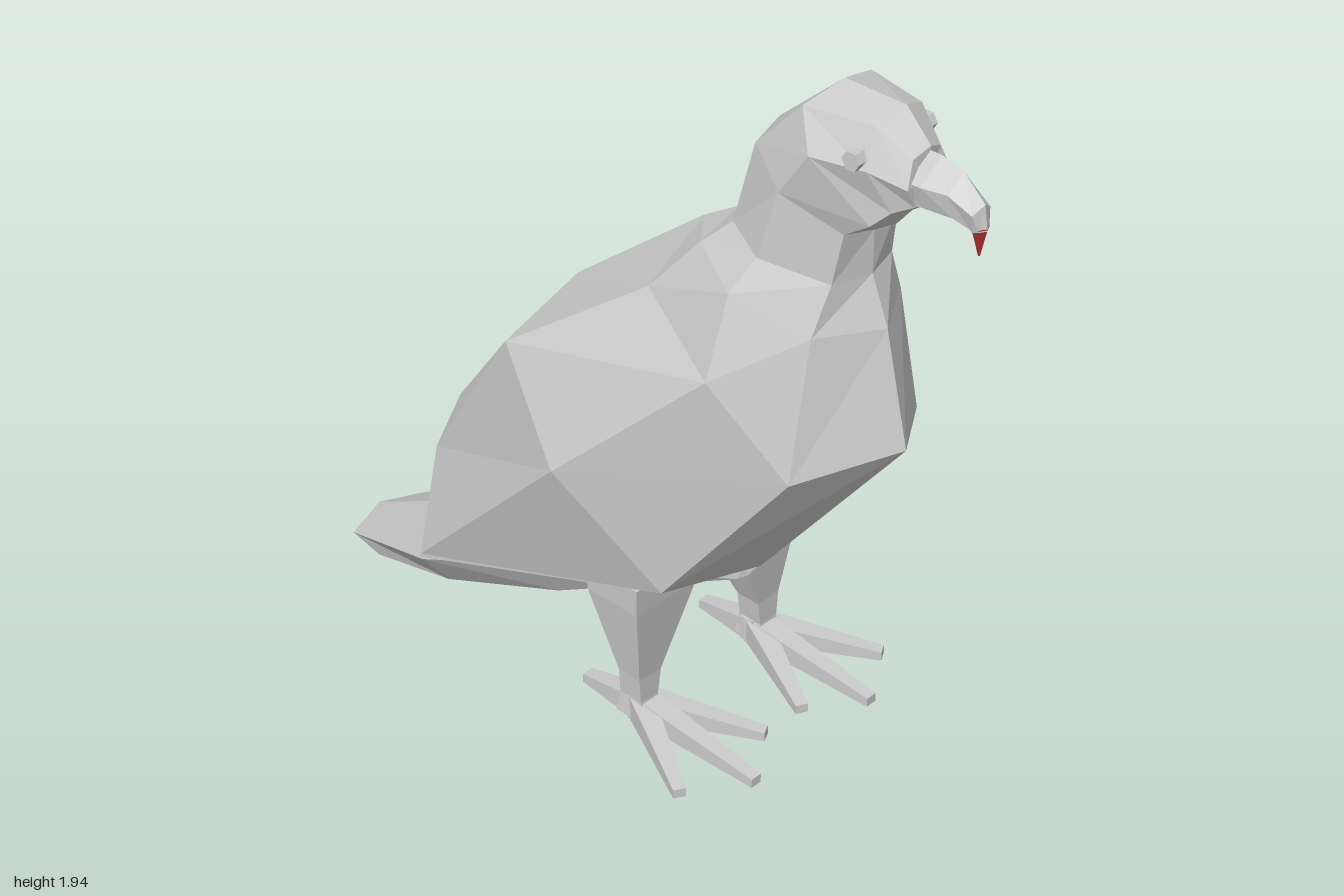
import * as THREE from 'three';

const grey = new THREE.MeshStandardMaterial({ color: 0xcccccc, flatShading: true, side: THREE.DoubleSide });
const red = new THREE.MeshStandardMaterial({ color: 0xb03030, flatShading: true, side: THREE.DoubleSide });

// Full ring from a half ring whose first and last points lie on x = 0
const sym = (half) => [...half, ...half.slice(1, -1).reverse().map(([x, y, z]) => [-x, y, z])];

// Faceted skin through rings of equal length, closed at both ends
function loft(name, rings, material = grey) {
  const pos = [];
  const n = rings[0].length;
  const mid = (r) => [0, 1, 2].map((k) => r.reduce((s, p) => s + p[k], 0) / n);
  const last = rings[rings.length - 1];
  const c0 = mid(rings[0]), c1 = mid(last);
  for (let i = 0; i < n; i++) {
    const j = (i + 1) % n;
    for (let r = 0; r + 1 < rings.length; r++) {
      const a = rings[r], b = rings[r + 1];
      pos.push(...a[i], ...a[j], ...b[j], ...a[i], ...b[j], ...b[i]);
    }
    pos.push(...c0, ...rings[0][j], ...rings[0][i], ...c1, ...last[i], ...last[j]);
  }
  const g = new THREE.BufferGeometry();
  g.setAttribute('position', new THREE.Float32BufferAttribute(pos, 3));
  g.computeVertexNormals();
  const mesh = new THREE.Mesh(g, material);
  mesh.name = name;
  return mesh;
}

// Half rings run from the breast side, round the left, to the back
const bodyRings = [
  [[0, 0.2, -0.66], [0.29, 0.26, -0.5], [0.29, 0.27, -0.5], [0.22, 0.57, -0.5], [0, 0.55, -0.65]],
  [[0, 0.55, 0.4], [0.29, 0.6, 0.35], [0.39, 0.87, 0.09], [0.29, 1.07, -0.16], [0, 1.11, -0.21]],
  [[0, 1.09, 0.82], [0.22, 1.03, 0.67], [0.29, 1.25, 0.48], [0.18, 1.33, 0.2], [0, 1.44, 0.2]],
  [[0, 1.38, 0.75], [0.15, 1.38, 0.66], [0.22, 1.45, 0.48], [0.14, 1.48, 0.32], [0, 1.51, 0.31]],
  [[0, 1.5, 0.7], [0.1, 1.5, 0.67], [0.165, 1.53, 0.51], [0.11, 1.55, 0.39], [0, 1.55, 0.37]],
];
const headRings = [
  bodyRings[4],
  [[0, 1.61, 0.7], [0.09, 1.63, 0.69], [0.145, 1.7, 0.55], [0.11, 1.77, 0.45], [0, 1.78, 0.42]],
  [[0, 1.65, 0.76], [0.09, 1.68, 0.76], [0.145, 1.82, 0.63], [0.11, 1.91, 0.58], [0, 1.94, 0.6]],
  [[0, 1.7, 0.8], [0.07, 1.72, 0.8], [0.11, 1.82, 0.76], [0.075, 1.91, 0.75], [0, 1.94, 0.77]],
  [[0, 1.73, 0.84], [0.045, 1.74, 0.84], [0.07, 1.79, 0.84], [0.045, 1.85, 0.83], [0, 1.87, 0.84]],
];
const beakRings = [
  [[0, 1.72, 0.78], [0.05, 1.74, 0.78], [0.06, 1.8, 0.78], [0, 1.86, 0.81]],
  [[0, 1.735, 0.86], [0.04, 1.745, 0.86], [0.055, 1.8, 0.86], [0, 1.86, 0.87]],
  [[0, 1.74, 0.93], [0.03, 1.745, 0.93], [0.04, 1.8, 0.92], [0, 1.845, 0.93]],
  [[0, 1.725, 0.97], [0.02, 1.73, 0.97], [0.03, 1.77, 0.98], [0, 1.79, 0.99]],
  [[0, 1.72, 0.97], [0.02, 1.725, 0.975], [0.018, 1.73, 0.99], [0, 1.73, 1]],
];
const tipRings = [
  [[0, 1.665, 0.98], [0.002, 1.665, 0.981], [0.002, 1.665, 0.983], [0, 1.665, 0.985]],
  [[0, 1.735, 0.965], [0.022, 1.735, 0.975], [0.018, 1.735, 0.99], [0, 1.735, 1]],
];
const tailRings = [
  [[0, 0, -0.85], [0.135, 0, -0.85], [0.13, 0.015, -0.96], [0, 0.03, -1]],
  [[0, 0.13, -0.5], [0.2, 0.14, -0.5], [0.285, 0.25, -0.5], [0, 0.21, -0.65]],
  [[0, 0.27, -0.12], [0.17, 0.29, -0.12], [0.24, 0.42, -0.1], [0, 0.42, -0.1]],
  [[0, 0.5, 0.36], [0.04, 0.51, 0.36], [0.05, 0.55, 0.34], [0, 0.56, 0.34]],
];

// Rectangular ring at height y, given outward x distances for side s
function slab(s, y, xIn, xOut, z0, z1) {
  const [a, b] = s > 0 ? [xIn, xOut] : [-xOut, -xIn];
  return [[a, y, z1], [b, y, z1], [b, y, z0], [a, y, z0]];
}

function makeLeg(s) {
  const leg = new THREE.Group();
  leg.name = s > 0 ? 'leftLeg' : 'rightLeg';
  leg.add(loft('shank', [
    slab(s, 0.12, 0.18, 0.25, 0.16, 0.25),
    slab(s, 0.18, 0.185, 0.245, 0.17, 0.24),
    slab(s, 0.25, 0.175, 0.25, 0.17, 0.24),
    slab(s, 0.48, 0.08, 0.285, 0.1, 0.265),
    slab(s, 0.56, 0.09, 0.29, 0.1, 0.27),
  ]));
  // Three front toes and one hind toe: tip positions
  [[0.21, 0.59], [0.37, 0.49], [0.065, 0.49], [0.21, 0.02]].forEach(([x, z]) => {
    const dx = (x - 0.21) * s, dz = z - 0.2, len = Math.hypot(dx, dz);
    const section = (w, h, d) => [[-w, 0.11, d], [w, 0.11, d], [w, h, d], [-w, h, d]];
    const toe = loft('toe', [section(0.032, 0.18, -0.02), section(0.016, 0.135, len)]);
    toe.position.set(0.21 * s, 0, 0.2);
    toe.rotation.y = Math.atan2(dx, dz);
    leg.add(toe);
  });
  return leg;
}

export function createModel() {
  const bird = new THREE.Group();
  bird.name = 'bird';
  bird.add(
    loft('body', bodyRings.map(sym)),
    loft('head', headRings.map(sym)),
    loft('beak', beakRings.map(sym)),
    loft('beakTip', tipRings.map(sym), red),
    loft('tail', tailRings.map(sym)),
  );
  for (const s of [1, -1]) {
    bird.add(makeLeg(s));
    // Small six-sided eye facing outward
    const eye = new THREE.Mesh(new THREE.CylinderGeometry(0.024, 0.024, 0.03, 6), grey);
    eye.name = s > 0 ? 'leftEye' : 'rightEye';
    eye.position.set(0.112 * s, 1.84, 0.73);
    eye.rotation.z = Math.PI / 2;
    bird.add(eye);
  }
  return bird;
}
